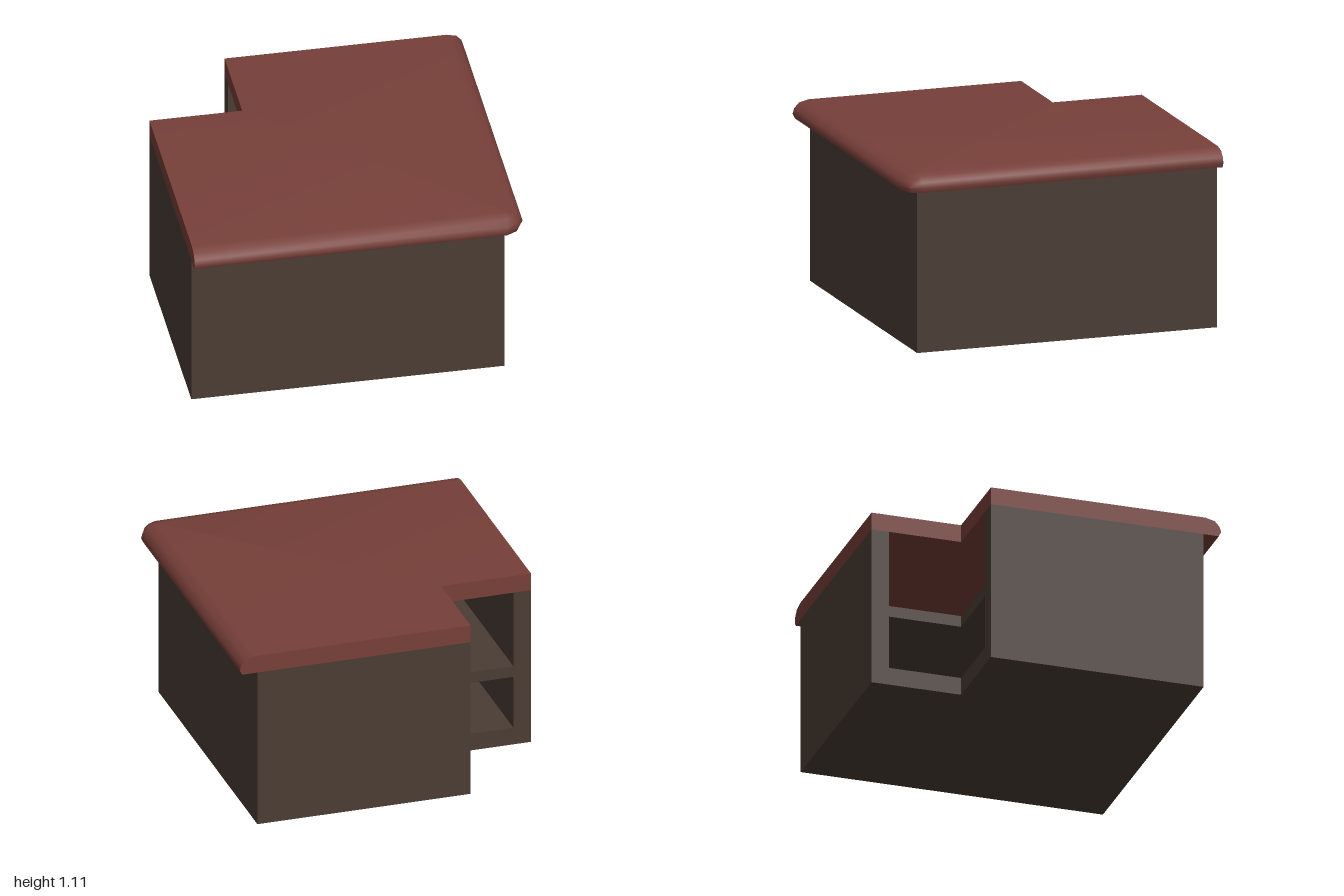
import * as THREE from 'three';
import { toCreasedNormals } from 'three/addons/utils/BufferGeometryUtils.js';

const NOTCH = -0.44, WALL = 0.89, T = 0.11;

// L-shaped plate from (min, min) to (max, max) with the back corner cut away
function plateL(min, max, y0, y1) {
  const pts = [[min, NOTCH], [NOTCH, NOTCH], [NOTCH, min], [max, min], [max, max], [min, max]];
  const shape = new THREE.Shape(pts.map(([x, z]) => new THREE.Vector2(x, -z)));
  const geo = new THREE.ExtrudeGeometry(shape, { depth: y1 - y0, bevelEnabled: false });
  return geo.rotateX(-Math.PI / 2).translate(0, y0, 0);
}

// Box given by its limits
function block(x0, x1, y0, y1, z0, z1) {
  return new THREE.BoxGeometry(x1 - x0, y1 - y0, z1 - z0)
    .translate((x0 + x1) / 2, (y0 + y1) / 2, (z0 + z1) / 2);
}

// Worktop: L outline lofted through a rounded nose on the two outer sides
function worktopGeometry() {
  const profile = [[0.015, 1.0], [0, 1.03], [0.01, 1.062], [0.04, 1.095], [0.1, 1.11]]; // inset, height
  const pos = [], index = [], n = 8;
  for (const [inset, y] of profile) {
    const e = 1 - inset, c = WALL + (T - inset) * 0.66;
    const ring = [[-1, NOTCH], [NOTCH, NOTCH], [NOTCH, -1], [e, -1], [e, WALL], [c, c], [WALL, e], [-1, e]];
    for (const [x, z] of ring) pos.push(x, y, z);
  }
  for (let r = 0; r < profile.length - 1; r++) {
    for (let i = 0; i < n; i++) {
      const a = r * n + i, b = r * n + (i + 1) % n;
      index.push(a, a + n, b, a + n, b + n, b);
    }
  }
  // caps fan out from the inner corner
  const top = (profile.length - 1) * n;
  for (let k = 2; k < n; k++) {
    const j = k, m = (k + 1) % n;
    index.push(top + 1, top + m, top + j, 1, j, m);
  }
  const geo = new THREE.BufferGeometry();
  geo.setAttribute('position', new THREE.Float32BufferAttribute(pos, 3));
  geo.setIndex(index);
  return toCreasedNormals(geo, 0.9);
}

export function createModel() {
  const group = new THREE.Group();
  const darkWood = new THREE.MeshStandardMaterial({ color: 0x4a3c34 });
  darkWood.name = 'dark wood';
  const redWood = new THREE.MeshStandardMaterial({ color: 0x773f39 });
  redWood.name = 'red wood';

  const add = (name, geo, mat = darkWood) => {
    const mesh = new THREE.Mesh(geo, mat);
    mesh.name = name;
    group.add(mesh);
  };

  add('worktop', worktopGeometry(), redWood);
  add('base', plateL(-1, WALL, 0, T));
  add('shelf', plateL(-WALL, WALL - T, 0.445, 0.515));

  // outer walls
  add('frontWall', block(-1, WALL, T, 1, WALL - T, WALL));
  add('sideWall', block(WALL - T, WALL, T, 1, -1, WALL - T));

  // end panels beside the open shelves
  add('backEndPanel', block(NOTCH, WALL - T, T, 1, -1, -WALL));
  add('sideEndPanel', block(-1, -WALL, T, 1, NOTCH, WALL - T));

  return group;
}
